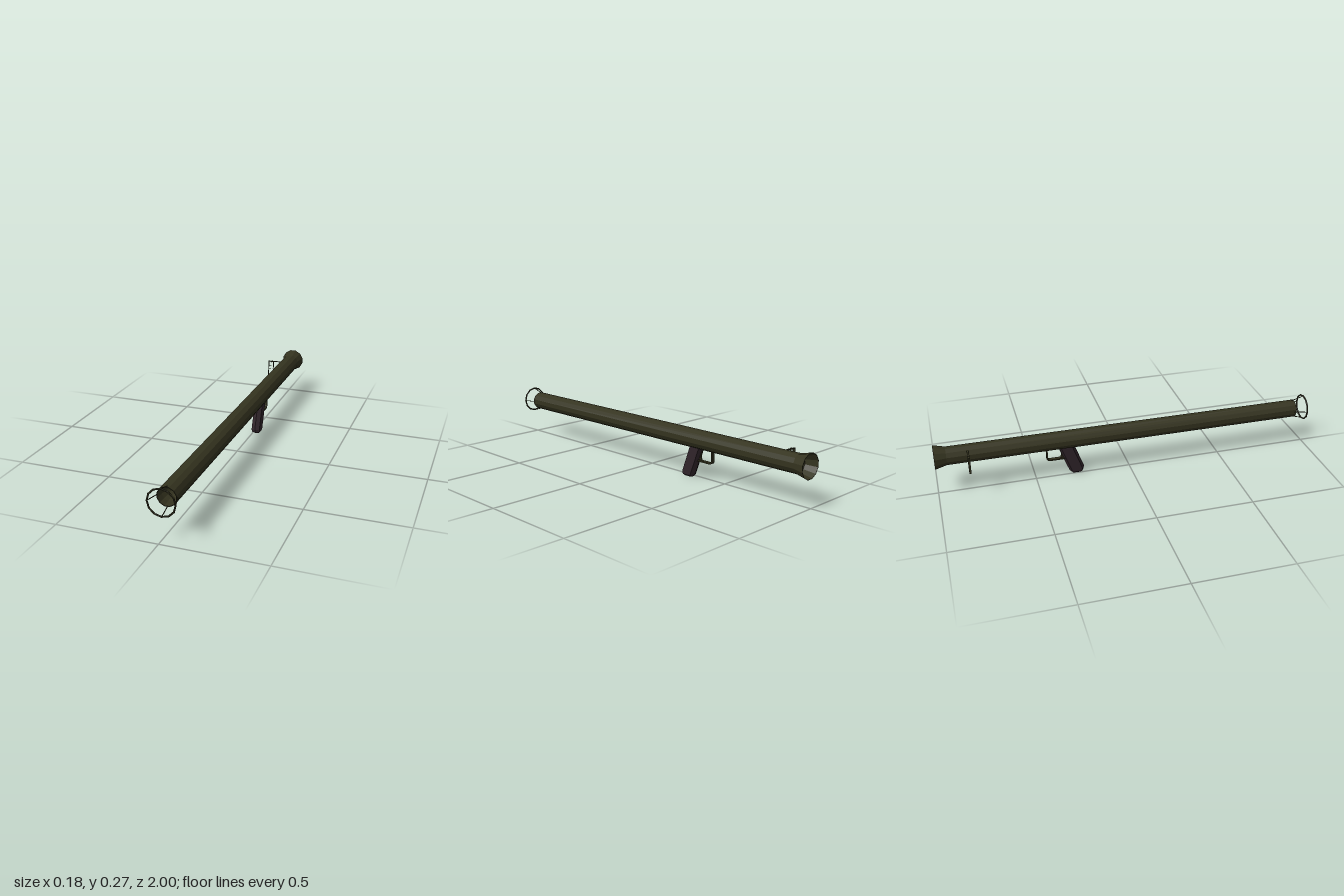
import * as THREE from 'three';

const AX = 0.018, AY = 0.2; // tube axis

export function createModel() {
  const root = new THREE.Group();
  const olive = new THREE.MeshStandardMaterial({ color: 0x34331f, flatShading: true });
  olive.name = 'olive paint';
  const brown = new THREE.MeshStandardMaterial({ color: 0x30242a, flatShading: true });
  brown.name = 'dark brown grip';

  const add = (name, geo, mat, parent = root) => {
    const m = new THREE.Mesh(geo, mat);
    m.name = name;
    parent.add(m);
    return m;
  };
  const V = (x, y, z) => new THREE.Vector3(x, y, z);
  // straight rod between two points
  const rod = (name, a, b, r, parent) => {
    const m = add(name, new THREE.CylinderGeometry(r, r, a.distanceTo(b), 6), olive, parent);
    m.position.copy(a).add(b).multiplyScalar(0.5);
    m.quaternion.setFromUnitVectors(V(0, 1, 0), b.clone().sub(a).normalize());
    return m;
  };

  // Tube: rear cap, flared tail, long body and recessed muzzle in one profile
  const profile = [
    [0, -0.93], [0.045, -0.94], [0.061, -1], [0.063, -1], [0.048, -0.94],
    [0.048, 0.94], [0.045, 0.94], [0.043, 0.9], [0.029, 0.84], [0.018, 0.8], [0, 0.8],
  ].map(([r, y]) => new THREE.Vector2(r, y));
  const tube = add('tube', new THREE.LatheGeometry(profile, 12, Math.PI / 12), olive);
  tube.rotation.x = Math.PI / 2;
  tube.position.set(AX, AY, 0);

  // Muzzle guard: wire ring on four splayed struts
  const guard = new THREE.Group();
  guard.name = 'muzzleGuard';
  guard.position.set(AX, AY, 0);
  root.add(guard);
  const ring = add('guardRing', new THREE.TorusGeometry(0.066, 0.0045, 6, 12), olive, guard);
  ring.position.z = 0.9955;
  for (let i = 0; i < 4; i++) {
    const c = Math.cos(i * Math.PI / 2), s = Math.sin(i * Math.PI / 2);
    rod('guardStrut', V(c * 0.047, s * 0.047, 0.93), V(c * 0.066, s * 0.066, 0.994), 0.0022, guard);
  }

  // Grip: six-sided sections lofted down a slant, chamfered at the foot
  const sections = [ // y, front z, back z, half width
    [0.165, -0.292, -0.378, 0.0225],
    [0.026, -0.242, -0.326, 0.0225],
    [0.008, -0.247, -0.318, 0.0225],
    [0.0, -0.262, -0.308, 0.014],
  ];
  const pos = [], idx = [];
  sections.forEach(([y, f, b, w]) => {
    const d = (f - b) * 0.16;
    [[0, f], [w, f - d], [w, b + d], [0, b], [-w, b + d], [-w, f - d]]
      .forEach(([x, z]) => pos.push(AX + x, y, z));
  });
  for (let s = 0; s < sections.length - 1; s++) {
    for (let i = 0; i < 6; i++) {
      const a = s * 6 + i, b = s * 6 + (i + 1) % 6;
      idx.push(a, a + 6, b, b, a + 6, b + 6);
    }
  }
  const last = (sections.length - 1) * 6;
  for (let i = 1; i < 5; i++) {
    idx.push(0, i, i + 1);
    idx.push(last, last + i + 1, last + i);
  }
  const gripGeo = new THREE.BufferGeometry();
  gripGeo.setAttribute('position', new THREE.Float32BufferAttribute(pos, 3));
  gripGeo.setIndex(idx);
  gripGeo.computeVertexNormals();
  add('grip', gripGeo, brown);

  // Side outlines given as [z, y], extruded across x
  const plate = (name, pts, width) => {
    const shape = new THREE.Shape(pts.map(([z, y]) => new THREE.Vector2(-z, y)));
    const geo = new THREE.ExtrudeGeometry(shape, { depth: width, bevelEnabled: false });
    geo.translate(0, 0, -width / 2);
    const m = add(name, geo, olive);
    m.rotation.y = Math.PI / 2;
    m.position.x = AX;
    return m;
  };
  plate('triggerGuard', [
    [-0.335, 0.088], [-0.425, 0.088], [-0.434, 0.092], [-0.439, 0.101], [-0.439, 0.165],
    [-0.432, 0.165], [-0.432, 0.103], [-0.429, 0.097], [-0.423, 0.095], [-0.335, 0.095],
  ], 0.02);
  plate('trigger', [
    [-0.345, 0.165], [-0.338, 0.115], [-0.35, 0.1], [-0.366, 0.094],
    [-0.36, 0.115], [-0.368, 0.14], [-0.375, 0.165],
  ], 0.01);

  // Side sight: rectangular frame with fine cross wires, hung from an arm
  const sight = new THREE.Group();
  sight.name = 'sight';
  sight.position.z = -0.835;
  root.add(sight);
  const bar = (name, x, y, w, h, d) =>
    add(name, new THREE.BoxGeometry(w, h, d), olive, sight).position.set(x, y, 0);
  for (const x of [-0.0895, -0.0605]) bar('sightSide', x, 0.1875, 0.003, 0.09, 0.01);
  for (const y of [0.144, 0.231]) bar('sightEnd', -0.075, y, 0.032, 0.003, 0.01);
  for (const y of [0.185, 0.205]) bar('sightCrossWire', -0.075, y, 0.028, 0.0012, 0.002);
  bar('sightPost', -0.075, 0.1875, 0.0012, 0.086, 0.002);
  bar('sightArm', -0.036, 0.233, 0.076, 0.003, 0.008);
  rod('sightHinge', V(-0.069, 0.232, -0.006), V(-0.069, 0.232, 0.006), 0.004, sight);

  return root;
}
